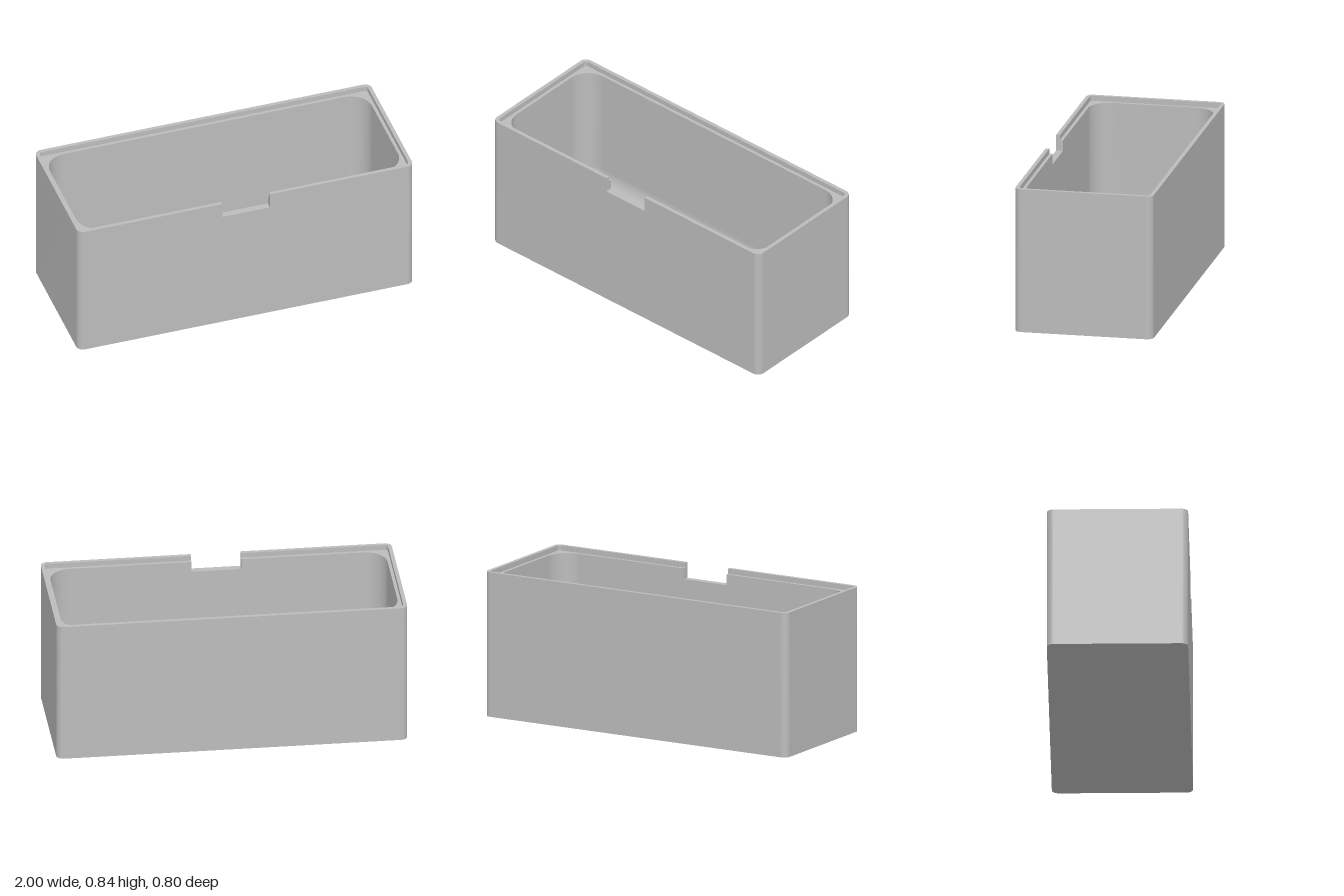
import * as THREE from 'three';

const HX = 1, HZ = 0.4, H = 0.84;      // outer half sizes and height
const LIP = 0.022, WALL = 0.04;        // insets of the lip and the cavity
const LEDGE = 0.81, NOTCH_Y = 0.748, NOTCH_W = 0.142;
const FLOOR = 0.04, R = 0.125;         // floor height, cavity rounding
const N = 12;                          // steps per rounded corner

// Rounded rectangle at height y; runs from the notch's one side round to the other
function ring(hx, hz, r, y, closed) {
  const pts = [new THREE.Vector3(NOTCH_W, y, hz)];
  [[1, 1], [1, -1], [-1, -1], [-1, 1]].forEach(([sx, sz], c) => {
    for (let i = 0; i <= N; i++) {
      const a = (Math.PI / 2) * (1 - c - i / N);
      pts.push(new THREE.Vector3(sx * (hx - r) + r * Math.cos(a), y, sz * (hz - r) + r * Math.sin(a)));
    }
  });
  pts.push(new THREE.Vector3(-NOTCH_W, y, hz));
  if (closed) pts.push(pts[0].clone());
  return pts;
}

// Smooth skin through a series of rings
function loft(rings) {
  const n = rings[0].length, index = [];
  for (let j = 0; j < rings.length - 1; j++) {
    for (let i = 0; i < n - 1; i++) {
      const a = j * n + i, b = a + n;
      index.push(a, a + 1, b + 1, a, b + 1, b);
    }
  }
  const g = new THREE.BufferGeometry().setFromPoints(rings.flat());
  g.setIndex(index);
  g.computeVertexNormals();
  return g;
}

export function createModel() {
  const group = new THREE.Group();
  const grey = new THREE.MeshStandardMaterial({ color: 0xbcbcbc });
  grey.name = 'grey';
  const add = (name, geometry) => {
    const mesh = new THREE.Mesh(geometry, grey);
    mesh.name = name;
    group.add(mesh);
  };

  const outer = (y, closed) => ring(HX, HZ, 0.04, y, closed);
  const lip = (y) => ring(HX - LIP, HZ - LIP, 0.02, y, false);
  const cavity = (y, closed) => ring(HX - WALL, HZ - WALL, R, y, closed);

  // Outside, closed below the notch and open beside it
  add('underside', loft([ring(0.6, 0, 0, 0, true), outer(0, true)]));
  add('outerWall', loft([outer(0, true), outer(NOTCH_Y, true)]));
  add('outerWallTop', loft([outer(NOTCH_Y), outer(H)]));

  // Stepped rim
  add('rim', loft([outer(H), lip(H)]));
  add('lipWall', loft([lip(H), lip(LEDGE)]));
  add('ledge', loft([lip(LEDGE), cavity(LEDGE)]));

  // Cavity with a rounded transition to the floor
  add('cavityWallTop', loft([cavity(LEDGE), cavity(NOTCH_Y)]));
  const inside = [cavity(NOTCH_Y, true)];
  for (let i = 0; i <= N; i++) {
    const a = (Math.PI / 2) * (i / N), inset = R * (1 - Math.cos(a));
    inside.push(ring(HX - WALL - inset, HZ - WALL - inset, R - inset, FLOOR + R * (1 - Math.sin(a)), true));
  }
  inside.push(ring(0.6, 0, 0, FLOOR, true));
  add('cavity', loft(inside));

  // Notch in the front wall
  const base = new THREE.PlaneGeometry(2 * NOTCH_W, WALL);
  base.rotateX(-Math.PI / 2).translate(0, NOTCH_Y, HZ - WALL / 2);
  add('notchBase', base);
  const section = [
    [HZ - WALL, NOTCH_Y], [HZ, NOTCH_Y], [HZ, H],
    [HZ - LIP, H], [HZ - LIP, LEDGE], [HZ - WALL, LEDGE],
  ];
  for (const s of [1, -1]) {
    const shape = new THREE.Shape(section.map(([z, y]) => new THREE.Vector2(s * z, y)));
    const side = new THREE.ShapeGeometry(shape);
    side.rotateY(-s * Math.PI / 2).translate(s * NOTCH_W, 0, 0);
    add(s > 0 ? 'notchSideLeft' : 'notchSideRight', side);
  }
  return group;
}
